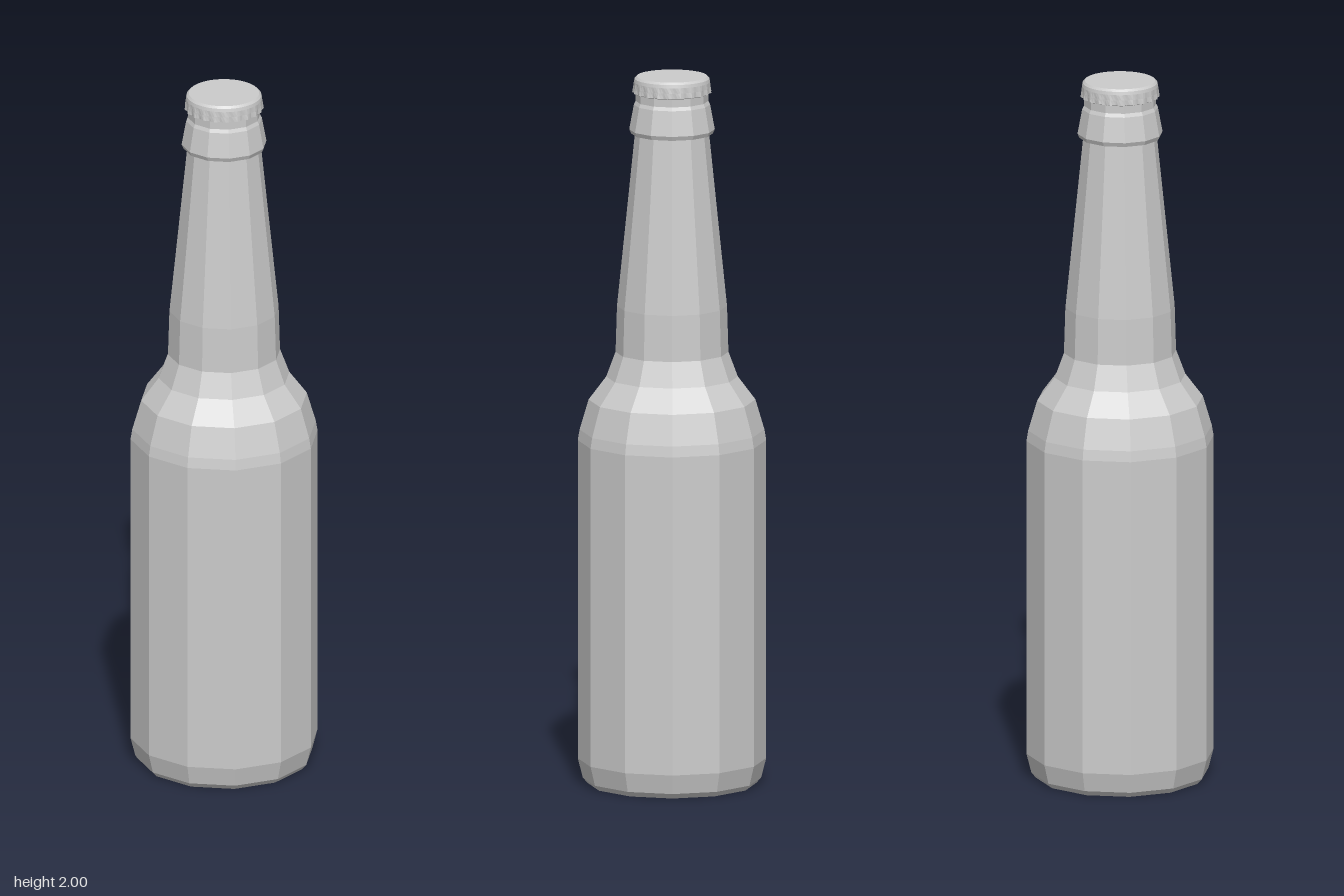
import * as THREE from 'three';

const material = new THREE.MeshStandardMaterial({ color: 0xcccccc, flatShading: true, side: THREE.DoubleSide });

// Revolve [radius, height] pairs, listed from bottom to top
function lathe(name, profile, sides) {
  const points = profile.map(([r, y]) => new THREE.Vector2(r, y));
  const mesh = new THREE.Mesh(new THREE.LatheGeometry(points, sides), material);
  mesh.name = name;
  return mesh;
}

export function createModel() {
  const group = new THREE.Group();
  group.name = 'bottle';

  // Twelve-sided glass: base, straight body, rounded shoulder
  group.add(lathe('body', [
    [0, 0], [0.235, 0], [0.248, 0.015], [0.262, 0.07], [0.262, 0.97],
    [0.257, 1.0], [0.232, 1.085], [0.183, 1.15], [0.157, 1.22],
  ], 12));

  // Tapering neck
  group.add(lathe('neck', [[0.157, 1.22], [0.153, 1.35], [0.103, 1.84]], 12));

  // Collar and lip under the cap
  group.add(lathe('collar', [
    [0.103, 1.84], [0.114, 1.838], [0.119, 1.85], [0.106, 1.92],
    [0.101, 1.93], [0.101, 1.96], [0, 1.96],
  ], 12));

  // Crown cap: the lower skirt is crimped into 21 flutes
  const cap = lathe('cap', [
    [0.1, 1.952], [0.108, 1.955], [0.107, 1.97], [0.106, 1.985], [0.104, 1.994], [0.098, 2], [0, 2],
  ], 84);
  const pos = cap.geometry.attributes.position;
  for (let i = 0; i < pos.count; i++) {
    const x = pos.getX(i), y = pos.getY(i), z = pos.getZ(i);
    const flare = THREE.MathUtils.clamp((1.985 - y) / 0.03, 0, 1);
    const k = 1 + 0.025 * flare * Math.cos(21 * Math.atan2(x, z));
    pos.setXYZ(i, x * k, y, z * k);
  }
  cap.geometry.computeVertexNormals();
  group.add(cap);

  return group;
}
